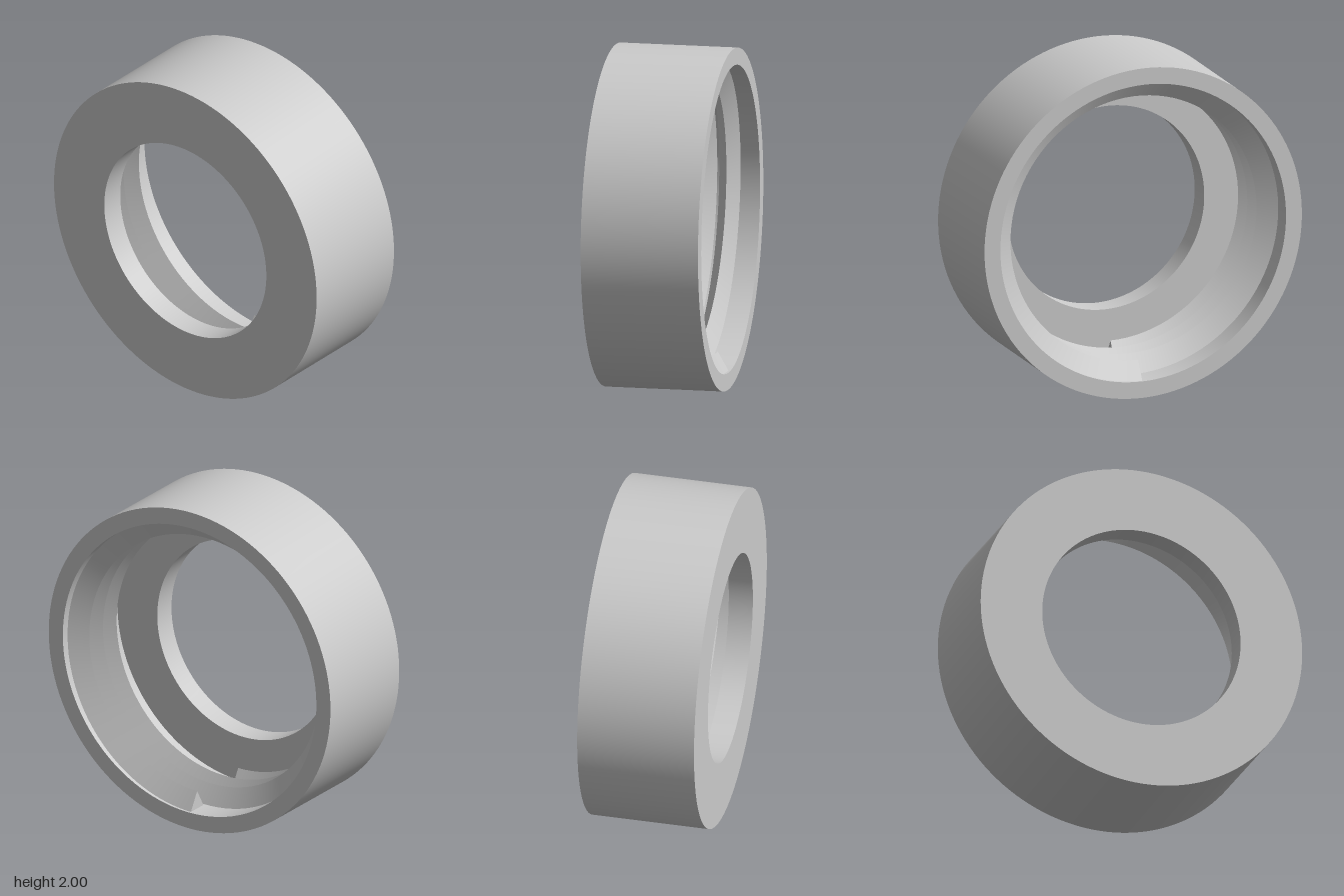
import * as THREE from 'three';
import { toCreasedNormals } from 'three/addons/utils/BufferGeometryUtils.js';

const HALF = 0.347;      // half depth of the cap
const FLANGE = 0.143;    // thickness of the front flange
const BORE = 0.9;        // radius of the threaded recess
const HOLE = 0.617;      // radius of the front hole
const PITCH = 0.138, TURNS = 3, RIDGE_HALF = 0.064, CREST = 0.79;

// Helical ridge with a triangular section, starting at the bottom by the back rim
function threadGeometry() {
  const steps = 96 * TURNS, pos = [], idx = [];
  for (let i = 0; i <= steps; i++) {
    const turn = (i / steps) * TURNS, t = turn * Math.PI * 2;
    const z = -HALF + 0.076 + turn * PITCH;
    for (const [r, dz] of [[BORE + 0.002, -RIDGE_HALF], [CREST, 0], [BORE + 0.002, RIDGE_HALF]]) {
      pos.push(r * Math.sin(t), -r * Math.cos(t), z + dz);
    }
  }
  for (let i = 0; i < steps; i++) {
    for (let k = 0; k < 2; k++) {
      const a = i * 3 + k, b = a + 1;
      idx.push(a, b, a + 3, b, b + 3, a + 3);
    }
  }
  // end faces
  const e = steps * 3;
  idx.push(0, 2, 1, e, e + 1, e + 2);
  const g = new THREE.BufferGeometry();
  g.setAttribute('position', new THREE.Float32BufferAttribute(pos, 3));
  g.setIndex(idx);
  return toCreasedNormals(g, 0.6);
}

export function createModel() {
  const model = new THREE.Group();
  model.name = 'threadedCap';
  const material = new THREE.MeshStandardMaterial({ color: 0xcccccc });

  // Ring body: outer wall, front flange with hole, recess open to the back
  const profile = [
    [1, -HALF], [1, HALF], [HOLE, HALF], [HOLE, HALF - FLANGE],
    [BORE, HALF - FLANGE], [BORE, -HALF], [1, -HALF],
  ].map(([r, y]) => new THREE.Vector2(r, y));
  const bodyGeometry = toCreasedNormals(new THREE.LatheGeometry(profile, 128), 0.6);
  bodyGeometry.rotateX(Math.PI / 2);
  const body = new THREE.Mesh(bodyGeometry, material);
  body.name = 'capBody';

  const thread = new THREE.Mesh(threadGeometry(), material);
  thread.name = 'innerThread';

  for (const part of [body, thread]) {
    part.position.y = 1;
    model.add(part);
  }
  return model;
}
